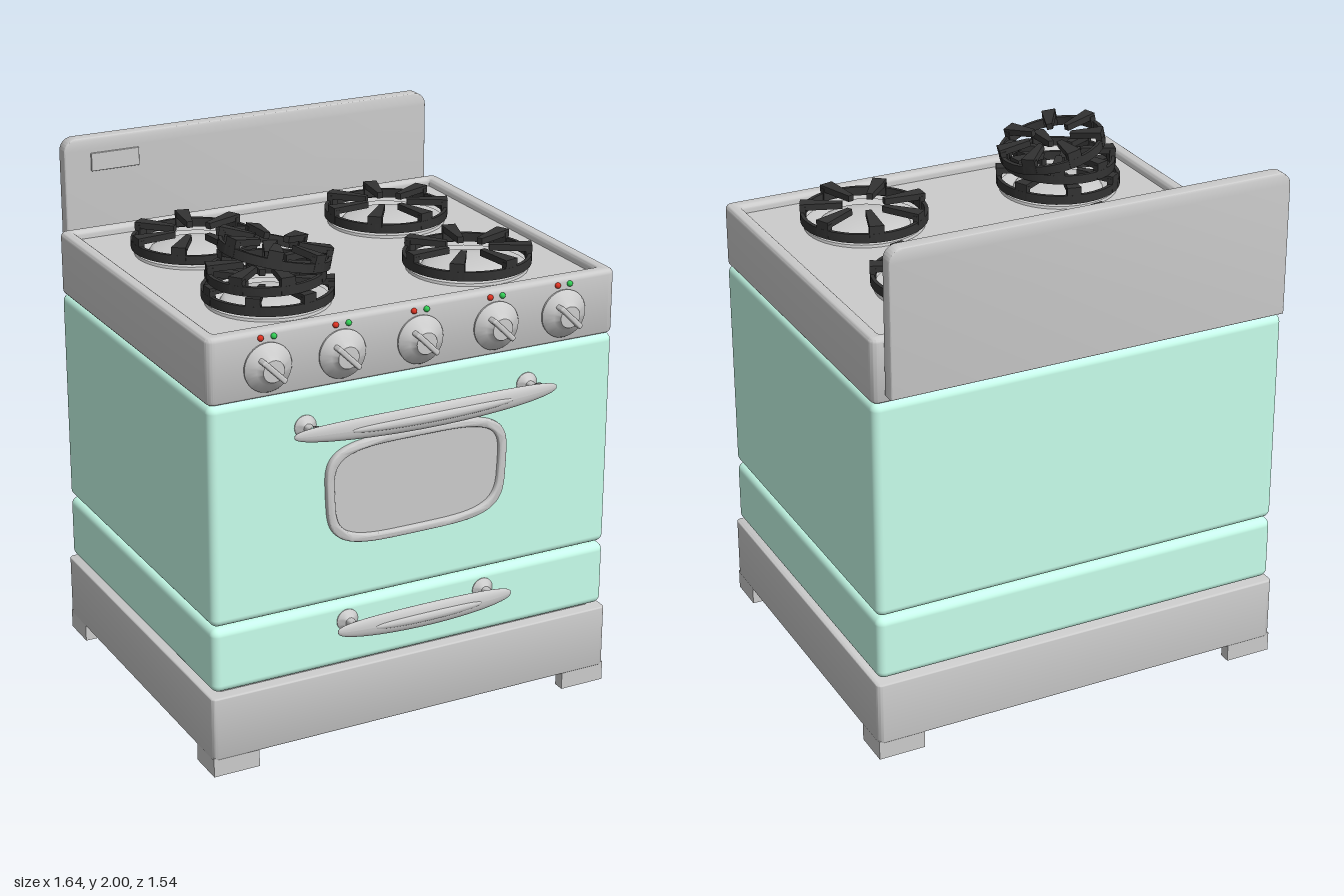
import * as THREE from 'three';
import { RoundedBoxGeometry } from 'three/addons/geometries/RoundedBoxGeometry.js';
import { toCreasedNormals } from 'three/addons/utils/BufferGeometryUtils.js';

const mat = (color) => new THREE.MeshStandardMaterial({ color, side: THREE.DoubleSide });
const grey = mat(0xcccccc), mint = mat(0xc8ffec), iron = mat(0x333333);
const red = mat(0xdd3322), green = mat(0x33cc55);

function add(parent, name, geometry, material, x = 0, y = 0, z = 0) {
  const mesh = new THREE.Mesh(geometry, material);
  mesh.name = name;
  mesh.position.set(x, y, z);
  parent.add(mesh);
  return mesh;
}

// Rounded box given by its limits
function block(parent, name, [x0, x1], [y0, y1], [z0, z1], r, material) {
  const g = new RoundedBoxGeometry(x1 - x0, y1 - y0, z1 - z0, 4, r);
  return add(parent, name, g, material, (x0 + x1) / 2, (y0 + y1) / 2, (z0 + z1) / 2);
}

// Rounded rectangle, used as a shape or as a hole
function roundRect(Type, x0, x1, y0, y1, r) {
  const s = new Type();
  s.moveTo(x0 + r, y0);
  s.lineTo(x1 - r, y0).absarc(x1 - r, y0 + r, r, -Math.PI / 2, 0);
  s.lineTo(x1, y1 - r).absarc(x1 - r, y1 - r, r, 0, Math.PI / 2);
  s.lineTo(x0 + r, y1).absarc(x0 + r, y1 - r, r, Math.PI / 2, Math.PI);
  s.lineTo(x0, y0 + r).absarc(x0 + r, y0 + r, r, Math.PI, Math.PI * 1.5);
  return s;
}

// Extrusion of exact total depth, with an inward bevel
function extrude(shape, depth, bevel = 0) {
  const g = new THREE.ExtrudeGeometry(shape, {
    depth: depth - 2 * bevel, bevelEnabled: bevel > 0, bevelSize: bevel,
    bevelThickness: bevel, bevelOffset: -bevel, bevelSegments: 4, curveSegments: 10,
  });
  g.translate(0, 0, bevel);
  return toCreasedNormals(g, 0.6);
}
// Plan shape (x, -z) extruded upwards
const extrudeUp = (shape, height, bevel) => extrude(shape, height, bevel).rotateX(-Math.PI / 2);

const lathe = (pts, seg = 40) =>
  toCreasedNormals(new THREE.LatheGeometry(pts.map(([r, y]) => new THREE.Vector2(r, y)), seg), 0.6);

// Plinth with four L-shaped feet
function addBase(parent) {
  const base = new THREE.Group();
  base.name = 'base';
  add(base, 'plinth', extrudeUp(roundRect(THREE.Shape, -0.82, 0.82, -0.635, 0.72, 0.02), 0.245, 0.006), grey, 0, 0.065, 0);
  for (const sx of [-1, 1]) for (const sz of [-1, 1]) {
    const X = 0.818 * sx, Z = sz > 0 ? -0.633 : 0.718, t = 0.045;
    const lx = X - 0.18 * sx, lz = Z + 0.145 * sz, ix = X - t * sx, iz = Z + t * sz;
    const foot = new THREE.Shape([[X, Z], [lx, Z], [lx, iz], [ix, iz], [ix, lz], [X, lz]]
      .map(([a, b]) => new THREE.Vector2(a, b)));
    add(base, 'foot', extrudeUp(foot, 0.075), grey);
  }
  parent.add(base);
}

// Bowed bar on two flared posts
function addHandle(parent, name, y, half, postX, bow) {
  const handle = new THREE.Group();
  handle.name = name;
  handle.position.y = y;
  const bar = (L, R, thick, z) => {
    const pts = [];
    for (let i = 0; i <= 32; i++) {
      const a = -Math.PI / 2 + (Math.PI * i) / 32, u = Math.sin(a);
      pts.push(new THREE.Vector2(R * Math.pow(Math.max(0, Math.cos(a)), 0.75), L * u));
    }
    const g = new THREE.LatheGeometry(pts, 24).rotateZ(Math.PI / 2).scale(1, 1, thick / R);
    const p = g.attributes.position;
    for (let i = 0; i < p.count; i++) p.setZ(i, p.getZ(i) + z + bow * (1 - (p.getX(i) / half) ** 2));
    g.computeVertexNormals();
    return g;
  };
  add(handle, 'bar', bar(half, 0.044, 0.02, 0.702), grey);
  add(handle, 'rib', bar(half * 0.61, 0.018, 0.012, 0.717), grey);
  const post = lathe([[0.042, 0], [0.042, 0.008], [0.03, 0.018], [0.018, 0.03], [0.018, 0.06], [0.03, 0.085]], 24);
  post.rotateX(Math.PI / 2);
  for (const s of [-1, 1]) add(handle, 'post', post, grey, s * postX, 0, 0.62);
  parent.add(handle);
}

// Bulging outline of the oven window
function windowOutline(Type, w, h) {
  const pts = [];
  for (let i = 0; i < 72; i++) {
    const a = (i / 72) * Math.PI * 2, c = Math.cos(a), s = Math.sin(a);
    const v = Math.sign(s) * Math.pow(Math.abs(s), 0.5);
    pts.push(new THREE.Vector2(w * Math.sign(c) * Math.pow(Math.abs(c), 0.5) * (1 + 0.025 * v), h * v));
  }
  return new Type(pts);
}

// Control knob with a grip and two indicator lamps
function addKnob(parent, x) {
  const knob = new THREE.Group();
  knob.name = 'knob';
  knob.position.set(x, 1.528, 0.622);
  const dial = lathe([[0.088, 0], [0.09, 0.012], [0.085, 0.02], [0.055, 0.036], [0.042, 0.05], [0.04, 0.058], [0, 0.06]]);
  add(knob, 'dial', dial.rotateX(Math.PI / 2), grey);
  add(knob, 'grip', new RoundedBoxGeometry(0.12, 0.02, 0.05, 3, 0.007), grey, 0, 0, 0.046).rotation.z = -Math.PI / 4;
  const lamp = new THREE.SphereGeometry(0.011, 16, 12);
  add(knob, 'redLamp', lamp, red, -0.025, 0.108, 0.006);
  add(knob, 'greenLamp', lamp, green, 0.025, 0.108, 0.006);
  parent.add(knob);
}

// Iron grate: ring with seven raised tapering fingers
function makeGrate(name, R) {
  const grate = new THREE.Group();
  grate.name = name;
  const r = R - 0.014, h = 0.034;
  add(grate, 'ring', lathe([[r, 0], [R, 0], [R, h], [r, h], [r, 0]], 48), iron);
  const finger = new THREE.Shape([[0.08, -0.011], [R, -0.027], [R, 0.027], [0.08, 0.011]]
    .map(([a, b]) => new THREE.Vector2(a, b)));
  const fingerGeo = extrudeUp(finger, 0.024).translate(0, 0.041, 0);
  const legGeo = new THREE.BoxGeometry(0.022, 0.05, 0.054).translate(R - 0.012, 0.03, 0);
  for (let i = 0; i < 7; i++) {
    const a = Math.PI + (i * Math.PI * 2) / 7;
    add(grate, 'finger', fingerGeo, iron).rotation.y = a;
    add(grate, 'fingerLeg', legGeo, iron).rotation.y = a;
  }
  return grate;
}

export function createModel() {
  const stove = new THREE.Group();
  stove.name = 'stove';
  const wide = [-0.81, 0.81], deep = [-0.71, 0.625];

  addBase(stove);
  block(stove, 'core', [-0.77, 0.77], [0.28, 1.5], [-0.67, 0.585], 0.01, grey);
  block(stove, 'drawer', wide, [0.323, 0.573], deep, 0.03, mint);
  block(stove, 'ovenBody', wide, [0.58, 1.415], deep, 0.03, mint);

  // Cooktop: raised rim around a sunken floor
  const rim = roundRect(THREE.Shape, -0.81, 0.81, -0.625, 0.71, 0.03);
  rim.holes.push(roundRect(THREE.Path, -0.76, 0.76, -0.565, 0.665, 0.01));
  add(stove, 'cooktopRim', extrudeUp(rim, 0.245, 0.018), grey, 0, 1.415, 0);
  block(stove, 'cooktopFloor', [-0.775, 0.775], [1.43, 1.628], [-0.68, 0.58], 0.004, grey);

  // Back guard with rounded top corners and a small plate
  const guard = new THREE.Shape();
  guard.moveTo(-0.77, 1.455);
  guard.lineTo(0.77, 1.455).lineTo(0.77, 1.95).absarc(0.72, 1.95, 0.05, 0, Math.PI / 2);
  guard.lineTo(-0.72, 2).absarc(-0.72, 1.95, 0.05, Math.PI / 2, Math.PI);
  add(stove, 'backGuard', extrude(guard, 0.055, 0.006), grey, 0, 0, -0.775);
  block(stove, 'guardPlate', [-0.665, -0.47], [1.87, 1.94], [-0.73, -0.713], 0.003, grey);

  // Oven window
  const frame = windowOutline(THREE.Shape, 0.363, 0.202);
  frame.holes.push(windowOutline(THREE.Path, 0.332, 0.172));
  add(stove, 'windowFrame', extrude(frame, 0.035, 0.009), grey, -0.005, 0.998, 0.612);
  add(stove, 'windowPane', extrude(windowOutline(THREE.Shape, 0.34, 0.18), 0.02), grey, -0.005, 0.998, 0.61);

  addHandle(stove, 'ovenHandle', 1.283, 0.525, 0.445, 0.036);
  addHandle(stove, 'drawerHandle', 0.502, 0.357, 0.28, 0.016);
  for (const x of [-0.588, -0.303, 0.003, 0.309, 0.588]) addKnob(stove, x);

  // Burners: drip pan, cap and grate
  const pan = lathe([[0.225, 0], [0.222, 0.012], [0.2, 0.012], [0.17, 0.004], [0.165, 0.012], [0.15, 0.02], [0.08, 0.03], [0, 0.032]]);
  for (const x of [-0.414, 0.392]) for (const z of [-0.347, 0.275]) {
    add(stove, 'burner', pan, grey, x, 1.626, z);
    const grate = makeGrate('grate', 0.236);
    grate.position.set(x, 1.651, z);
    stove.add(grate);
  }

  // Two spare grates stacked on the front right-hand burner
  const spares = [[-0.42, 1.718, 0.278, 0.212, 0.6, 0.02], [-0.39, 1.787, 0.275, 0.203, 1.1, -0.22]];
  for (const [x, y, z, R, turn, tilt] of spares) {
    const holder = new THREE.Group();
    holder.name = 'spareGrate';
    holder.position.set(x, y, z);
    holder.rotation.z = tilt;
    const grate = makeGrate('grate', R);
    grate.rotation.y = turn;
    holder.add(grate);
    stove.add(holder);
  }
  return stove;
}
